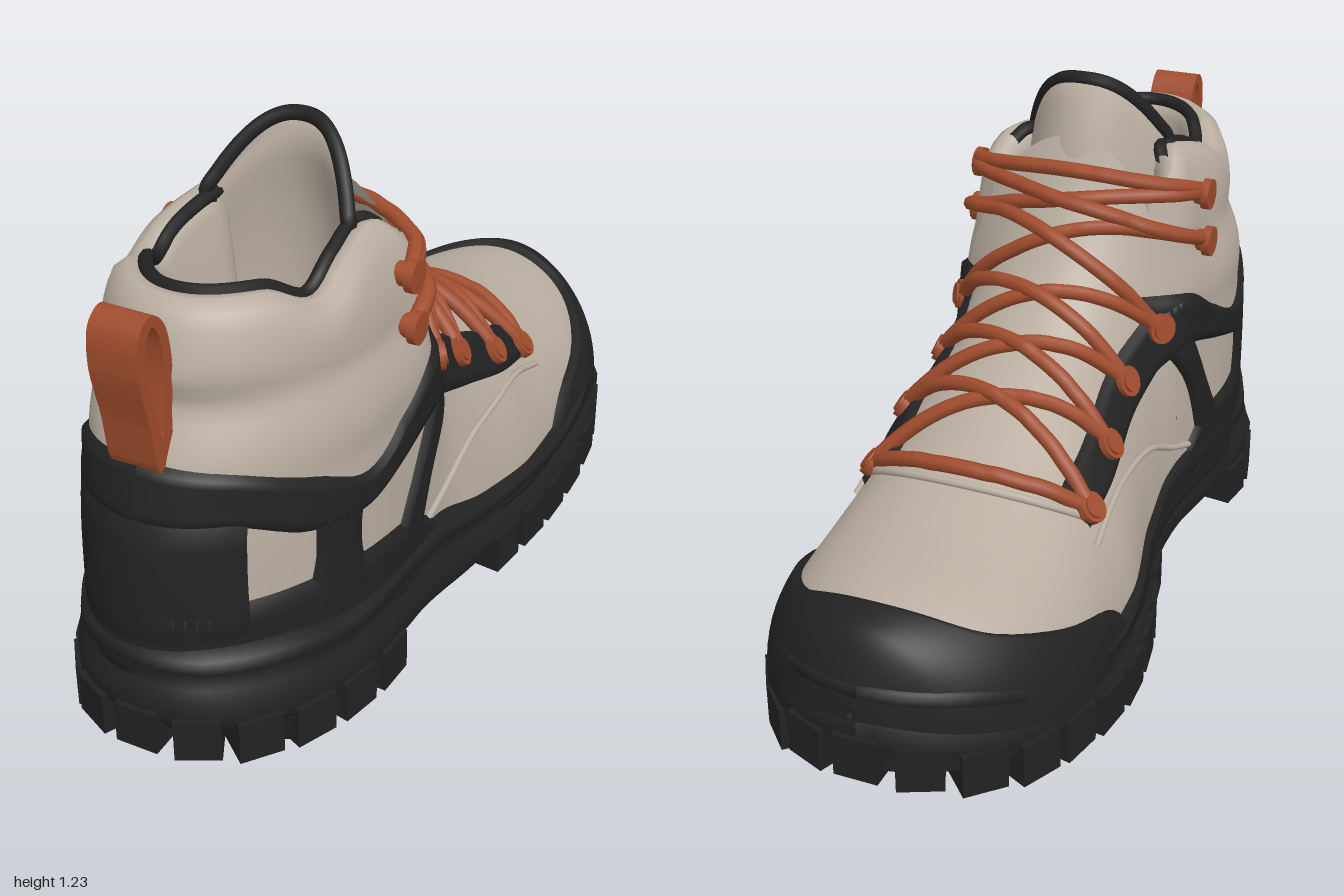
import * as THREE from 'three';

const V = (x, y, z) => new THREE.Vector3(x, y, z);
const clamp = THREE.MathUtils.clamp;
const paint = (name, color) => {
  const m = new THREE.MeshStandardMaterial({ color, side: THREE.DoubleSide });
  m.name = name;
  return m;
};

// Smooth monotone interpolation through [key, value] pairs
function curve(pts) {
  const n = pts.length;
  const sl = pts.slice(1).map((p, i) => (p[1] - pts[i][1]) / (p[0] - pts[i][0]));
  const m = pts.map((_, i) => {
    if (i === 0) return sl[0];
    if (i === n - 1) return sl[n - 2];
    const a = sl[i - 1], b = sl[i];
    return a * b <= 0 ? 0 : (2 * a * b) / (a + b);
  });
  return (x) => {
    if (x <= pts[0][0]) return pts[0][1];
    if (x >= pts[n - 1][0]) return pts[n - 1][1];
    let i = 0;
    while (x > pts[i + 1][0]) i++;
    const w = pts[i + 1][0] - pts[i][0], t = (x - pts[i][0]) / w, u = 1 - t;
    return pts[i][1] * (1 + 2 * t) * u * u + m[i] * w * t * u * u +
      pts[i + 1][1] * t * t * (3 - 2 * t) - m[i + 1] * w * t * t * u;
  };
}

// Grid surface from a point function
function grid(rows, cols, fn) {
  const pos = [], idx = [];
  for (let i = 0; i <= rows; i++) for (let j = 0; j <= cols; j++) pos.push(...fn(i, j).toArray());
  for (let i = 0; i < rows; i++) for (let j = 0; j < cols; j++) {
    const a = i * (cols + 1) + j, b = a + cols + 1;
    idx.push(a, b, a + 1, b, b + 1, a + 1);
  }
  const g = new THREE.BufferGeometry();
  g.setAttribute('position', new THREE.Float32BufferAttribute(pos, 3));
  g.setIndex(idx);
  g.computeVertexNormals();
  return g;
}

// Shape of the upper: centre line, top profile, heel profile, half widths
const Y0 = 0.12;
const midX = curve([[-0.2, -0.006], [0.2, -0.014], [0.7, -0.03]]);
const topY = curve([[-0.97, 0.2], [-0.955, 0.3], [-0.9, 0.395], [-0.8, 0.425], [-0.6, 0.455], [-0.43, 0.505],
  [-0.2, 0.62], [0, 0.75], [0.165, 1.0], [0.22, 1.14], [0.28, 1.25], [1, 1.25]]);
const heelZ = curve([[0.2, 0.95], [0.45, 0.94], [0.7, 0.89], [0.79, 0.845], [0.82, 0.83], [0.88, 0.85], [0.94, 0.835], [1.02, 0.8], [1.1, 0.76]]);
const wide = {
  1: curve([[-0.5, 0.355], [-0.2, 0.372], [0, 0.345], [0.2, 0.315], [0.5, 0.318], [0.9, 0.3]]),
  '-1': curve([[-0.5, 0.36], [-0.3, 0.355], [0, 0.29], [0.15, 0.275], [0.3, 0.29], [0.5, 0.31], [0.9, 0.3]]),
};
const power = curve([[-1, 2.6], [-0.5, 2.4], [-0.3, 2], [0.12, 2.1], [0.3, 6]]);
const collarY = curve([[0.2, 0.97], [0.27, 1.0], [0.33, 1.05], [0.46, 1.025], [0.6, 0.975], [0.75, 1.02], [0.9, 1.03]]);

// Squared half width at (z, y)
function Q(z, y, s) {
  const k = Math.max(0, (y - Y0) / (topY(z) - Y0));
  const heel = z > 0.4 ? 1 - ((z - 0.4) / (heelZ(y) - 0.4)) ** 2.2 : 1;
  const toe = z < -0.5 ? 1 - ((-0.5 - z) / 0.465) ** 2.4 : 1;
  const ramp = clamp((z - 0.15) / 0.2, 0, 1);
  const puff = y > 0.62 ? 0.05 * Math.abs(Math.sin((y - 0.62) / 0.2 * Math.PI)) : 0;
  const taper = 0.1 * clamp((y - 0.6) / 0.3, 0, 1);
  return (wide[s](z) * (1 + (puff - taper) * ramp)) ** 2 * (1 - k ** power(z)) * heel * toe;
}
// Outward normal at signed distance dx from the centre line
function normal(dx, y, z, s) {
  const e = 0.002;
  return V(2 * dx, (Q(z, y - e, s) - Q(z, y + e, s)) / (2 * e), (Q(z - e, y, s) - Q(z + e, y, s)) / (2 * e)).normalize();
}
// Point on the upper, lifted by d along its normal
function skin(z, y, s, d = 0) {
  const dx = s * Math.sqrt(Math.max(0, Q(z, y, s))), p = V(midX(z) + dx, y, z);
  return d ? p.addScaledVector(normal(dx, y, z, s), d) : p;
}
const arch = (z, th, d) => skin(z, Y0 + (topY(z) - Y0) * Math.sin(th), Math.cos(th) >= 0 ? 1 : -1, d);
// Move a point outwards until it clears the upper by gap
function clear(p, gap) {
  for (let i = 0; i < 50; i++) {
    const dx = p.x - midX(p.z), s = dx >= 0 ? 1 : -1, n = normal(dx, p.y, p.z, s);
    const c = p.clone().addScaledVector(n, -gap);
    if (Q(c.z, c.y, s) <= (c.x - midX(c.z)) ** 2) break;
    p.addScaledVector(n, 0.004);
  }
  return p;
}
// Side coordinate that stays even around the heel
const toPhi = (z) => (z > 0.4 ? Math.asin(Math.min(1, (z - 0.4) / 0.5)) : (z - 0.4) / 0.5);
const fromPhi = (f, y) => (f > 0 ? 0.4 + (heelZ(y) - 0.4) * Math.sin(f) : 0.4 + 0.5 * f);

export function createModel() {
  const model = new THREE.Group();
  model.name = 'hikingBoot';
  const fabric = paint('warmGreyFabric', 0xb9ada0), rubber = paint('blackRubber', 0x222223), cord = paint('rustCord', 0xa04c2d);
  const add = (name, geo, mat) => {
    const m = new THREE.Mesh(geo, mat);
    m.name = name;
    model.add(m);
    return m;
  };
  const tube = (name, pts, r, mat, n = 60) =>
    add(name, new THREE.TubeGeometry(new THREE.CatmullRomCurve3(pts), n, r, 8), mat);

  // Vamp, from toe tip to the tongue
  const toeStation = (t, end) => -0.965 + (end + 0.965) * (1 - Math.cos(t * Math.PI / 2));
  add('vamp', grid(70, 48, (i, j) => arch(toeStation(i / 70, 0.2), j / 48 * Math.PI)), fabric);

  // Padded ankle shaft with rolled collar and lining
  const N = 40, R = 30, rim = [[0.015, 0.035], [0.045, 0.055], [0.08, 0.05], [0.105, 0.01], [0.125, -0.18], [0.15, -0.48]];
  const column = (j) => {
    const f = Math.PI / 2 - Math.abs(j) / N * (Math.PI / 2 + 0.4);
    return { f, s: j < 0 ? -1 : 1, top: collarY(0.4 + 0.5 * Math.sin(Math.max(f, -0.4))) - 0.055 };
  };
  const rimPoint = (j, dIn, dy) => {
    const { f, s, top } = column(j), p = skin(fromPhi(f, top), top, s);
    const inward = V(midX(p.z) - p.x, 0, Math.min(p.z, 0.5) - p.z).normalize();
    return p.addScaledVector(inward, dIn * clamp(0.4 + (p.z - 0.2) * 4, 0.4, 1)).add(V(0, dy, 0));
  };
  add('ankleShaft', grid(R + rim.length, 2 * N, (i, j) => {
    if (i > R) return rimPoint(j - N, ...rim[i - R - 1]);
    const { f, s, top } = column(j - N), y = 0.15 + (top - 0.15) * i / R;
    return skin(fromPhi(f, y), y, s);
  }), fabric);
  const trim = [];
  for (let j = -N + 4; j <= N - 4; j++) trim.push(rimPoint(j, 0.085, 0.05));
  tube('collarTrim', trim, 0.016, rubber, 120);
  const insole = add('insole', new THREE.CircleGeometry(1, 32).rotateX(-Math.PI / 2).scale(0.2, 1, 0.36), fabric);
  insole.position.set(-0.02, 0.48, 0.44);

  // Tongue: a curved padded sheet with a dark edge
  const tongue = (u, v, back) => {
    const y = 0.6 + (0.615 - 0.16 * Math.abs(u) ** 2.5) * v;
    return V(-0.014 + 0.172 * u, y, 0.15 + 0.085 * v ** 3 + 0.125 * u * u + back);
  };
  add('tongue', grid(24, 24, (i, j) => {
    const a = i / 12, v = a <= 1 ? a : 2 - a;
    return tongue(j / 12 - 1, v, a <= 1 ? 0 : 0.05 * Math.min(1, (1 - v) * 6 + 0.3));
  }), fabric);
  const edge = [];
  for (let v = 0.82; v < 0.98; v += 0.07) edge.push(tongue(-1, v, 0.015));
  for (let i = -10; i <= 10; i++) edge.push(tongue(i / 10, 1, 0.012));
  for (let v = 0.93; v > 0.8; v -= 0.07) edge.push(tongue(1, v, 0.015));
  tube('tongueTrim', edge, 0.017, rubber, 90);

  // Raised seams in front of the laces and along the sides
  const seam = [];
  for (let i = -10; i <= 10; i++) seam.push(arch(-0.46 + 0.0012 * i * i, Math.PI / 2 + i * 0.085, 0.003));
  tube('vampSeam', seam, 0.01, fabric);
  for (const s of [1, -1]) tube('sideSeam', [[0.32, 0.27], [0.18, 0.32], [0.05, 0.38], [-0.1, 0.405], [-0.25, 0.4], [-0.38, 0.36]]
    .map(([z, y]) => skin(z, y, s, 0.003)), 0.008, fabric);

  // Toe cap
  const capEdge = curve([[0, -0.3], [0.3, -0.42], [0.55, -0.62], [0.8, -0.78], [1, -0.84]]);
  add('toeCap', grid(28, 48, (i, j) => {
    const th = j / 48 * Math.PI;
    return arch(toeStation(i / 28, capEdge(Math.sin(th))), th, i === 28 ? -0.004 : 0.018);
  }), rubber);

  // Overlays: rows of [z, y] to [z, y], laid on both sides
  const overlays = {
    ankleStrap: [[0.9, 0.72, 0.9, 0.58], [0.83, 0.695, 0.83, 0.575], [0.66, 0.63, 0.66, 0.5], [0.52, 0.575, 0.55, 0.49],
      [0.38, 0.635, 0.4, 0.53], [0.25, 0.715, 0.25, 0.57], [0.14, 0.735, 0.17, 0.55]],
    heelColumn: [[0.9, 0.62, 0.9, 0.28], [0.82, 0.62, 0.815, 0.28], [0.8, 0.62, 0.79, 0.28]],
    heelBase: [[0.9, 0.41, 0.9, 0.2], [0.8, 0.4, 0.8, 0.2], [0.6, 0.385, 0.6, 0.2], [0.35, 0.35, 0.32, 0.2], [0.25, 0.29, 0.25, 0.2]],
    rearPost: [[0.665, 0.55, 0.53, 0.55], [0.66, 0.45, 0.54, 0.45], [0.69, 0.3, 0.51, 0.3]],
    frontPost: [[0.26, 0.6, 0.15, 0.6], [0.34, 0.45, 0.25, 0.45], [0.42, 0.32, 0.32, 0.26]],
    eyeletFacing: [[0.22, 0.72, 0.2, 0.56], [0, 0.62, 0, 0.49], [-0.2, 0.53, -0.2, 0.43], [-0.37, 0.465, -0.38, 0.385]],
    rand: [[0.5, 0.28, 0.5, 0.13], [0.25, 0.275, 0.25, 0.13], [0, 0.215, 0, 0.13], [-0.4, 0.19, -0.4, 0.13]],
  };
  for (const [name, rows] of Object.entries(overlays)) for (const s of [1, -1]) {
    const keys = [0, 1, 2, 3].map((c) => curve(rows.map((r, i) => [i, c % 2 ? r[c] : toPhi(r[c])])));
    add(name, grid(40, 8, (i, j) => {
      const [fa, ya, fb, yb] = keys.map((k) => k(i / 40 * (rows.length - 1)));
      const t = j / 8, y = ya + (yb - ya) * t;
      return skin(fromPhi(fa + (fb - fa) * t, y), y, s, j % 8 ? 0.015 : -0.004);
    }), rubber);
  }

  // Eyelets and hooks
  const eyes = [[-0.34, 0.42], [-0.17, 0.49], [0, 0.57], [0.16, 0.65], [0.33, 0.82], [0.33, 0.94]];
  for (const s of [1, -1]) eyes.forEach(([z, y], i) => {
    const a = skin(z, y, s), hook = i > 3;
    const dir = hook ? V(s, 0, 0) : skin(z, y, s, 1).sub(a);
    const q = new THREE.Quaternion().setFromUnitVectors(V(0, 1, 0), dir);
    for (const [r, len, out] of [[0.027, 0.05, 0.01], [0.037, 0.02, hook ? 0.03 : 0.018]]) {
      const m = add(hook ? 'laceHook' : 'eyelet', new THREE.CylinderGeometry(r, r, len, 14), cord);
      m.position.copy(a).addScaledVector(dir, out);
      m.quaternion.copy(q);
    }
  });
  // Laces: an arc from eye to eye, kept clear of the upper
  const lace = (e0, e1, mid, s, lift) => {
    const a = skin(...e0, s, 0.018), b = skin(...e1, -s, 0.018), pts = [];
    const bow = V((a.x + b.x) / 2, topY(mid) + 0.015, mid).sub(a.clone().lerp(b, 0.5));
    for (let i = 0; i <= 20; i++) {
      const t = i / 20, p = a.clone().lerp(b, t).addScaledVector(bow, 4 * t * (1 - t));
      pts.push(clear(p, 0.012 + lift * Math.sin(Math.PI * t)));
    }
    tube('lace', pts, 0.018, cord, 60);
  };
  lace(eyes[0], eyes[0], -0.43, 1, 0);
  [-0.25, -0.12, 0, 0.09, 0.13].forEach((m, i) => {
    lace(eyes[i], eyes[i + 1], m, 1, 0);
    lace(eyes[i], eyes[i + 1], m, -1, 0.014);
  });
  lace(eyes[5], eyes[5], 0.165, 1, 0);

  // Heel pull loop
  const ring = (pts, Type) => new Type(new THREE.CatmullRomCurve3(pts.map(([z, y]) => V(-z, y, 0)), true).getPoints(50)
    .map((p) => new THREE.Vector2(p.x, p.y)));
  const loop = ring([[0.86, 0.69], [0.895, 0.7], [0.92, 0.82], [0.947, 0.95], [0.935, 1.03], [0.895, 1.053],
    [0.855, 1.02], [0.835, 0.93], [0.845, 0.82]], THREE.Shape);
  loop.holes.push(ring([[0.88, 0.78], [0.9, 0.84], [0.922, 0.95], [0.912, 1.01], [0.893, 1.027], [0.873, 1.0], [0.86, 0.93], [0.868, 0.84]], THREE.Path));
  const pull = add('pullLoop', new THREE.ExtrudeGeometry(loop, { depth: 0.115, bevelEnabled: false }).rotateY(Math.PI / 2), cord);
  pull.position.x = -0.092;

  // Sole, stacked from one outline
  const outline = new THREE.CatmullRomCurve3([[-0.02, -0.99], [0.17, -0.935], [0.3, -0.79], [0.375, -0.6], [0.4, -0.25],
    [0.378, 0], [0.34, 0.3], [0.325, 0.6], [0.26, 0.8], [0.13, 0.95], [-0.02, 0.99], [-0.17, 0.945], [-0.29, 0.8],
    [-0.36, 0.6], [-0.34, 0.4], [-0.305, 0.15], [-0.315, 0], [-0.372, -0.2], [-0.4, -0.42], [-0.378, -0.62],
    [-0.32, -0.8], [-0.19, -0.935]].map(([x, z]) => V(x, 0, z)), true);
  const under = curve([[-1, 0.15], [-0.9, 0.11], [-0.7, 0.08], [-0.35, 0.05], [0, 0.055], [0.1, 0.05], [0.3, 0.062], [0.45, 0.065], [0.85, 0.085], [1, 0.12]]);
  const over = curve([[-1, 0.33], [-0.9, 0.31], [-0.7, 0.24], [-0.4, 0.19], [0, 0.215], [0.3, 0.27], [0.6, 0.27], [0.8, 0.3], [1, 0.32]]);
  const outward = (t) => { const d = outline.getTangentAt(t); return V(-d.z, 0, d.x); };
  const flip = outward(0).z > 0 ? -1 : 1;
  const layers = [[0, 0.05], [0.04, 0.02], [0.2, 0.0], [0.45, 0.002], [0.54, 0.024], [0.72, 0.03], [0.78, 0.012], [0.92, 0.016], [1, 0.055]];
  const L = layers.length;
  add('sole', grid(L + 1, 120, (i, j) => {
    const t = (j % 120) / 120, [f, inset] = layers[clamp(i - 1, 0, L - 1)];
    const p = outline.getPointAt(t).addScaledVector(outward(t), -inset * flip);
    if (i === 0 || i === L + 1) p.x = -0.01;
    p.y = under(p.z) + (over(p.z) - under(p.z)) * f;
    return p;
  }), rubber);

  // Tread lugs round the edge and under the foot
  const lug = (geo, x, y, z, turn) => {
    const m = add('treadLug', geo, rubber);
    m.position.set(x, y, z);
    m.rotation.y = turn;
  };
  const edgeLug = new THREE.BoxGeometry(0.1, 0.1, 0.12), hexLug = new THREE.CylinderGeometry(0.085, 0.07, 0.07, 6);
  for (let i = 0; i < 36; i++) {
    const t = i / 36, p = outline.getPointAt(t), n = outward(t).multiplyScalar(flip);
    if (p.z > 0.03 && p.z < 0.42) continue;
    lug(edgeLug, p.x - n.x * 0.05, under(p.z) + 0.002, p.z - n.z * 0.05, Math.atan2(n.x, n.z));
  }
  for (let r = 0; r < 10; r++) {
    const z = -0.78 + r * 0.17;
    if (z > 0.1 && z < 0.38) continue;
    for (const x of r % 2 ? [-0.2, 0, 0.2] : [-0.1, 0.1]) lug(hexLug, x - 0.01, under(z) - 0.015, z, 0);
  }
  return model;
}
